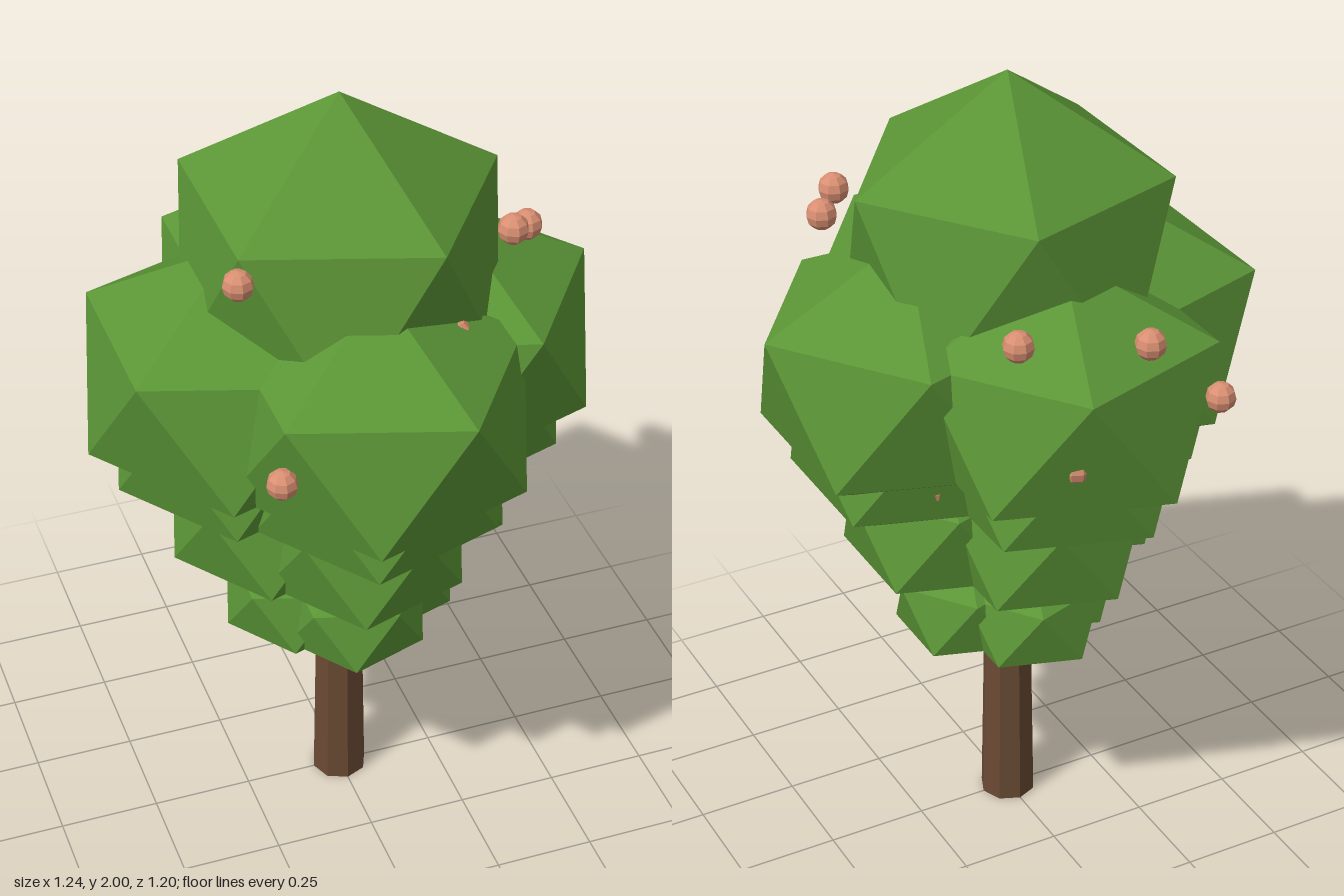
import * as THREE from 'three';

const material = (name, color) => {
  const m = new THREE.MeshStandardMaterial({ color, flatShading: true });
  m.name = name;
  return m;
};

// Faceted leaf clump standing on one corner, with a corner of its upper ring toward +x
function clumpGeometry(radius, squash) {
  const golden = (1 + Math.sqrt(5)) / 2;
  return new THREE.IcosahedronGeometry(radius, 0)
    .rotateX(-Math.atan(golden))
    .rotateY(Math.PI / 2)
    .scale(1, squash, 1);
}

export function createModel() {
  const tree = new THREE.Group();
  tree.name = 'fruitTree';
  const leaf = material('leafGreen', 0x5b9536);
  const bark = material('barkBrown', 0x6a4a33);
  const peach = material('fruitPeach', 0xd98f72);

  const add = (parent, name, geometry, mat, x, y, z) => {
    const mesh = new THREE.Mesh(geometry, mat);
    mesh.name = name;
    mesh.position.set(x, y, z);
    parent.add(mesh);
  };

  // Trunk, running up into the crown
  add(tree, 'trunk', new THREE.CylinderGeometry(0.05, 0.07, 1.1, 8), bark, 0, 0.55, 0);

  // Crown: four tiers of four clumps, and one clump on top
  const crown = new THREE.Group();
  crown.name = 'crown';
  tree.add(crown);
  const tiers = [
    // radius, distance from trunk, height
    [0.196, 0.117, 0.626],
    [0.275, 0.176, 0.9],
    [0.33, 0.255, 1.16],
    [0.4, 0.26, 1.308],
  ];
  tiers.forEach(([radius, out, y], i) => {
    const geometry = clumpGeometry(radius, 0.85);
    for (const [dx, dz] of [[1, 0], [0, 1], [-1, 0], [0, -1]]) {
      add(crown, `leafClumpTier${i + 1}`, geometry, leaf, dx * out, y, dz * out);
    }
  });
  add(crown, 'topLeafClump', clumpGeometry(0.43, 1), leaf, 0, 1.57, 0);

  // Fruit, some almost buried in the leaves
  const fruits = new THREE.Group();
  fruits.name = 'fruits';
  tree.add(fruits);
  const fruitGeometry = new THREE.SphereGeometry(0.037, 8, 6);
  const spots = [
    [-0.327, 1.285, -0.427],
    [-0.09, 1.52, -0.5],
    [0.21, 1.564, -0.443],
    [-0.316, 1.707, 0.238],
    [0.397, 1.666, 0.156],
    [0.341, 1.697, 0.209],
    [-0.293, 1.315, 0.457],
    [0.269, 1.207, 0.355],
    [0.11, 1.273, -0.526],
    [0.175, 1.506, 0.293],
    [0.31, 1.11, -0.215],
  ];
  for (const [x, y, z] of spots) add(fruits, 'fruit', fruitGeometry, peach, x, y, z);

  return tree;
}
